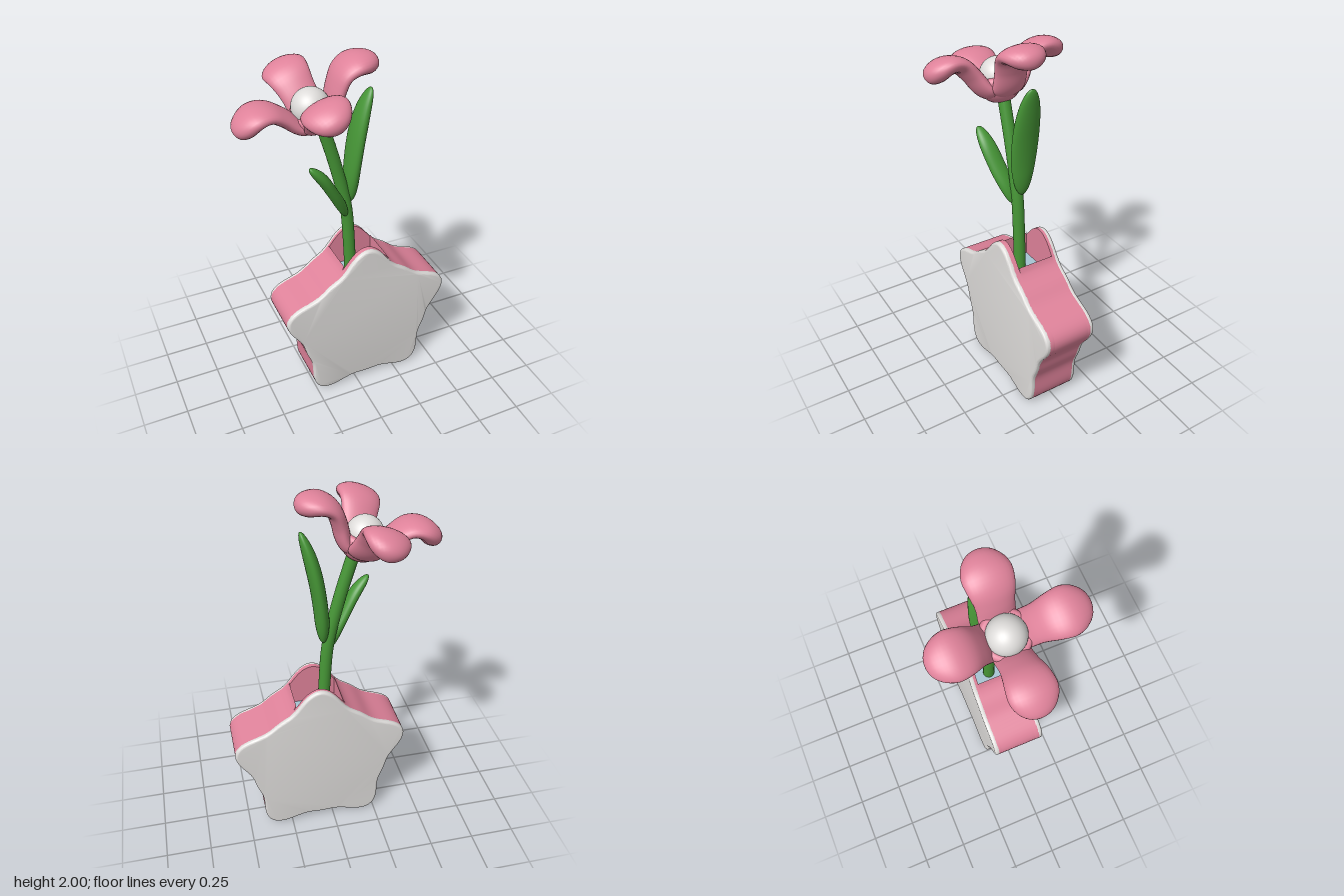
import * as THREE from 'three';
import { toCreasedNormals } from 'three/addons/utils/BufferGeometryUtils.js';

const material = (name, color) => new THREE.MeshStandardMaterial({ name, color });
const V = (x, y, z = 0) => new THREE.Vector3(x, y, z);

// 1 along the middle, rounding off to 0 over the first a and last b of the length
function rounded(t, a, b) {
  const s = t < a ? (a - t) / a : t > 1 - b ? (t - 1 + b) / b : 0;
  return Math.sqrt(Math.max(0, 1 - s * s));
}

// Soft blade: elliptical cross-sections swept along a curve, wide along z
function blade(points, width, thick, rings = 40, sides = 28) {
  const curve = new THREE.CatmullRomCurve3(points);
  const side = V(0, 0, 1), pos = [], index = [];
  for (let i = 0; i <= rings; i++) {
    const t = (1 - Math.cos((Math.PI * i) / rings)) / 2;
    const c = curve.getPointAt(t);
    const n = side.clone().cross(curve.getTangentAt(t)).normalize();
    for (let j = 0; j < sides; j++) {
      const a = (j / sides) * Math.PI * 2;
      const p = c.clone()
        .addScaledVector(side, width(t) * Math.cos(a))
        .addScaledVector(n, thick(t) * Math.sin(a));
      pos.push(p.x, p.y, p.z);
      if (i < rings) {
        const k = (j + 1) % sides, r = i * sides, q = r + sides;
        index.push(r + j, q + j, r + k, r + k, q + j, q + k);
      }
    }
  }
  const g = new THREE.BufferGeometry();
  g.setAttribute('position', new THREE.Float32BufferAttribute(pos, 3));
  g.setIndex(index);
  g.computeVertexNormals();
  return g;
}

// Soft five-pointed star outline, counter-clockwise from the top point
function starPoints(count = 160) {
  return Array.from({ length: count }, (_, i) => {
    const a = (i / count) * Math.PI * 2;
    const r = 0.4345 + 0.056 * Math.cos(5 * a) + 0.0145 * Math.cos(10 * a);
    return new THREE.Vector2(0.07 - r * Math.sin(a), 0.427 + r * Math.cos(a));
  });
}

function slab(points, z0, z1, bevel = 0) {
  const g = new THREE.ExtrudeGeometry(new THREE.Shape(points), {
    depth: z1 - z0 - 2 * bevel,
    bevelEnabled: bevel > 0,
    bevelThickness: bevel,
    bevelSize: bevel,
    bevelOffset: -bevel,
    bevelSegments: 5,
  });
  g.translate(0, 0, z0 + bevel);
  return toCreasedNormals(g, 0.6);
}

export function createModel() {
  const pink = material('pink', 0xdf829a);
  const white = material('white', 0xdedcda);
  const green = material('green', 0x469636);
  const blue = material('pale blue', 0xa6c4d2);
  const model = new THREE.Group();
  const add = (parent, name, geometry, mat) => {
    const mesh = new THREE.Mesh(geometry, mat);
    mesh.name = name;
    parent.add(mesh);
    return mesh;
  };

  // Star pot: a middle slab with a slot in the top, between two full walls
  const pot = new THREE.Group();
  pot.name = 'starPot';
  model.add(pot);
  const star = starPoints();
  const slotted = star.filter((p) => p.y < 0.6 || p.x < -0.06 || p.x > 0.2);
  slotted.push(...[[0.2, 0.838], [0.2, 0.6], [-0.06, 0.6], [-0.06, 0.838]]
    .map(([x, y]) => new THREE.Vector2(x, y)));
  add(pot, 'potBody', slab(slotted, -0.1, 0.11), pink);
  add(pot, 'frontWall', slab(star, 0.11, 0.137), pink);
  add(pot, 'backWall', slab(star, -0.117, -0.1), pink);
  add(pot, 'frontPlate', slab(star, 0.12, 0.16, 0.015), white);
  add(pot, 'backPlate', slab(star, -0.14, -0.102, 0.014), white);
  add(pot, 'slotFilling', new THREE.BoxGeometry(0.26, 0.1, 0.21), blue)
    .position.set(0.07, 0.65, 0.005);

  // Stem and leaves
  const stemPath = new THREE.CatmullRomCurve3([
    V(0.03, 0.65), V(0.02, 0.9), V(0, 1.15), V(-0.06, 1.42), V(-0.135, 1.68),
  ]);
  add(model, 'stem', new THREE.TubeGeometry(stemPath, 40, 0.033, 20), green);
  add(model, 'largeLeaf', blade(
    [V(0.028, 1.17, -0.012), V(0.038, 1.35, -0.012), V(0.065, 1.55, -0.012),
      V(0.1, 1.7, -0.008), V(0.137, 1.81, 0)],
    (t) => 0.076 * rounded(t, 0.5, 0.5),
    (t) => 0.038 * rounded(t, 0.25, 0.4)), green);
  add(model, 'smallLeaf', blade(
    [V(-0.008, 1.105, 0.02), V(-0.045, 1.19, 0.035), V(-0.105, 1.3, 0.06),
      V(-0.165, 1.4, 0.08), V(-0.237, 1.485, 0.095)],
    (t) => 0.048 * rounded(t, 0.45, 0.4),
    (t) => 0.03 * rounded(t, 0.3, 0.3)), green);

  // Tilted flower head: cup, four petals and a round centre
  const head = new THREE.Group();
  head.name = 'flowerHead';
  head.position.set(-0.14, 1.635, 0);
  head.rotation.z = 0.332;
  model.add(head);
  const cup = new THREE.SplineCurve([[0, 0], [0.055, 0.012], [0.1, 0.05], [0.125, 0.1],
    [0.115, 0.135], [0.07, 0.135], [0, 0.12]].map(([x, y]) => new THREE.Vector2(x, y)));
  const profile = cup.getPoints(30).map((p) => p.setX(Math.max(0, p.x)));
  add(head, 'cup', new THREE.LatheGeometry(profile, 40), pink);
  const petal = blade(
    [V(0.04, 0.045), V(0.1, 0.095), V(0.15, 0.17), V(0.205, 0.228),
      V(0.27, 0.24), V(0.335, 0.215), V(0.377, 0.18)],
    (t) => (0.092 + 0.026 * THREE.MathUtils.smoothstep(t, 0.3, 0.75)) * rounded(t, 0.15, 0.32),
    (t) => (0.04 + 0.013 * THREE.MathUtils.smoothstep(t, 0.5, 0.85)) * rounded(t, 0.12, 0.14));
  for (let i = 0; i < 4; i++) {
    add(head, 'petal', petal, pink).rotation.y = (i * Math.PI) / 2;
  }
  add(head, 'flowerCentre', new THREE.SphereGeometry(0.097, 32, 24), white)
    .position.y = 0.14;

  return model;
}
